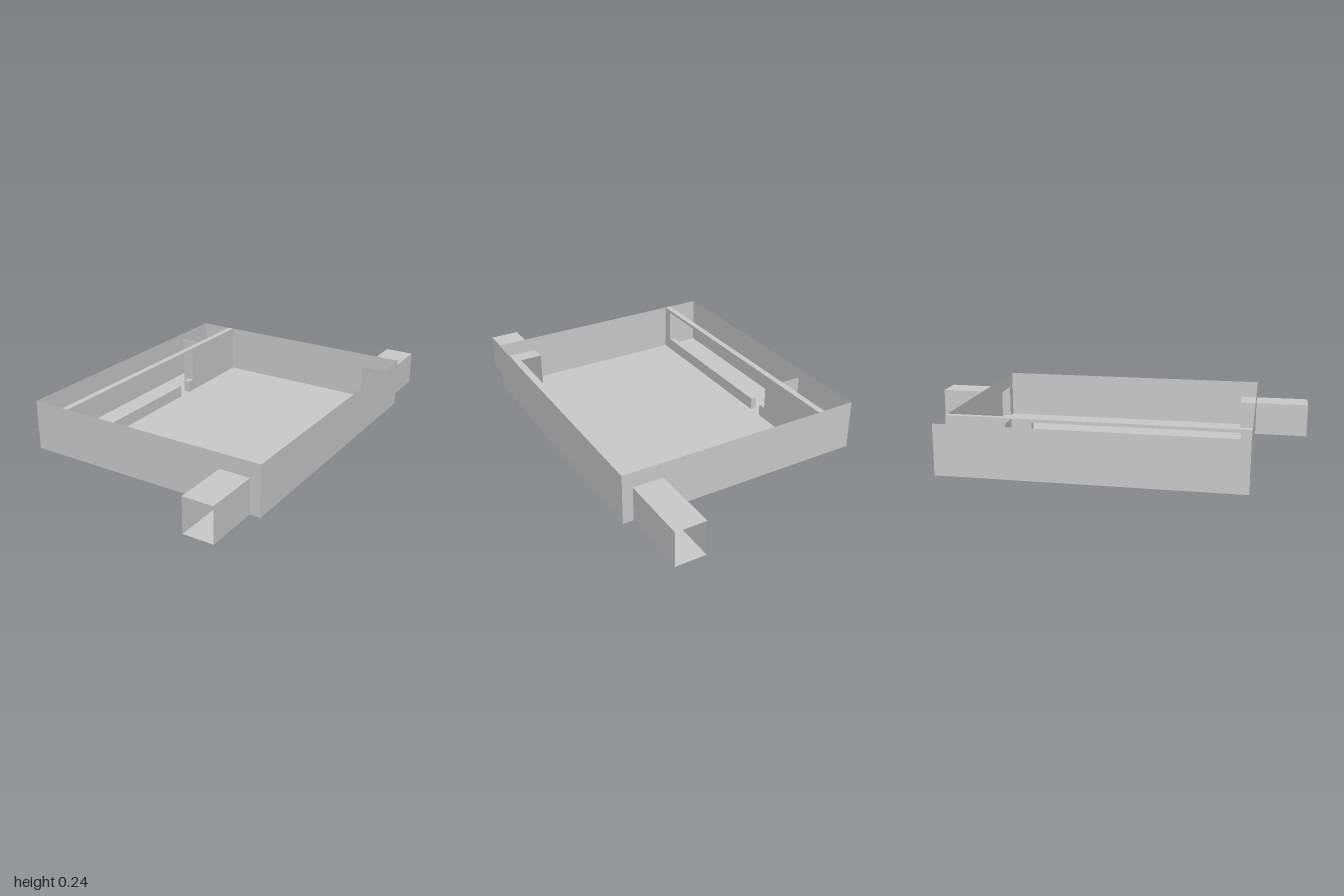
import * as THREE from 'three';

const grey = new THREE.MeshStandardMaterial({ color: 0xcccccc, side: THREE.DoubleSide, flatShading: true });

const W = 0.6, H = 0.24, BACK = -0.66, FRONT = 0.735; // tray
const T0 = 0.405, T1 = 0.55, TH = 0.167;              // tunnel section
const PX = -0.41, PT = 0.03;                          // partition

function shapeOf(points) {
  return new THREE.Shape(points.map(([x, y]) => new THREE.Vector2(x, y)));
}

export function createModel() {
  const group = new THREE.Group();

  function add(name, geometry, x = 0, y = 0, z = 0, parent = group) {
    const mesh = new THREE.Mesh(geometry, grey);
    mesh.name = name;
    mesh.position.set(x, y, z);
    parent.add(mesh);
    return mesh;
  }

  // thin sheet lying flat
  function slab(name, x0, x1, z0, z1, y, parent) {
    const g = new THREE.PlaneGeometry(x1 - x0, z1 - z0).rotateX(-Math.PI / 2);
    return add(name, g, (x0 + x1) / 2, y, (z0 + z1) / 2, parent);
  }

  // thin upright sheet running along z
  function sideSheet(name, x, z0, z1, h, parent) {
    const g = new THREE.PlaneGeometry(z1 - z0, h).rotateY(Math.PI / 2);
    return add(name, g, x, h / 2, (z0 + z1) / 2, parent);
  }

  // Floor and long side walls
  slab('floor', -W, W, BACK, FRONT, 0);
  sideSheet('leftWall', W, BACK, FRONT, H);
  sideSheet('rightWall', -W, BACK, FRONT, H);

  // End walls, notched where the tunnels pass through
  const endWall = new THREE.ShapeGeometry(shapeOf([
    [-W, 0], [T0, 0], [T0, TH], [T1, TH], [T1, 0], [W, 0], [W, H], [-W, H],
  ]));
  add('frontWall', endWall, 0, 0, FRONT);
  add('backWall', endWall, 0, 0, BACK);

  // Square tunnels, open at both ends
  function tunnel(name, z0, z1, floorStart, floorEnd) {
    const t = new THREE.Group();
    t.name = name;
    group.add(t);
    slab('tunnelRoof', T0, T1, z0, z1, TH, t);
    slab('tunnelFloor', T0, T1, floorStart, floorEnd, 0, t);
    sideSheet('tunnelSide', T0, z0, z1, TH, t);
    sideSheet('tunnelSide', T1, z0, z1, TH, t);
  }
  tunnel('frontTunnel', 0.655, 1, FRONT, 1);
  tunnel('backTunnel', -1, BACK, -1, BACK);

  // Partition with a long window and a small doorway below it
  const partition = new THREE.ExtrudeGeometry(shapeOf([
    [BACK, 0], [-0.21, 0], [-0.21, 0.06], [-0.25, 0.06], [-0.25, 0.225],
    [0.685, 0.225], [0.685, 0.06], [-0.14, 0.06], [-0.14, 0],
    [FRONT, 0], [FRONT, H], [BACK, H],
  ]), { depth: PT, bevelEnabled: false });
  add('partition', partition, PX).rotation.y = -Math.PI / 2;

  // Short cross panel behind the partition
  add('crossPanel', new THREE.BoxGeometry(0.095, H, 0.004), -0.4875, H / 2, -0.345);

  return group;
}
